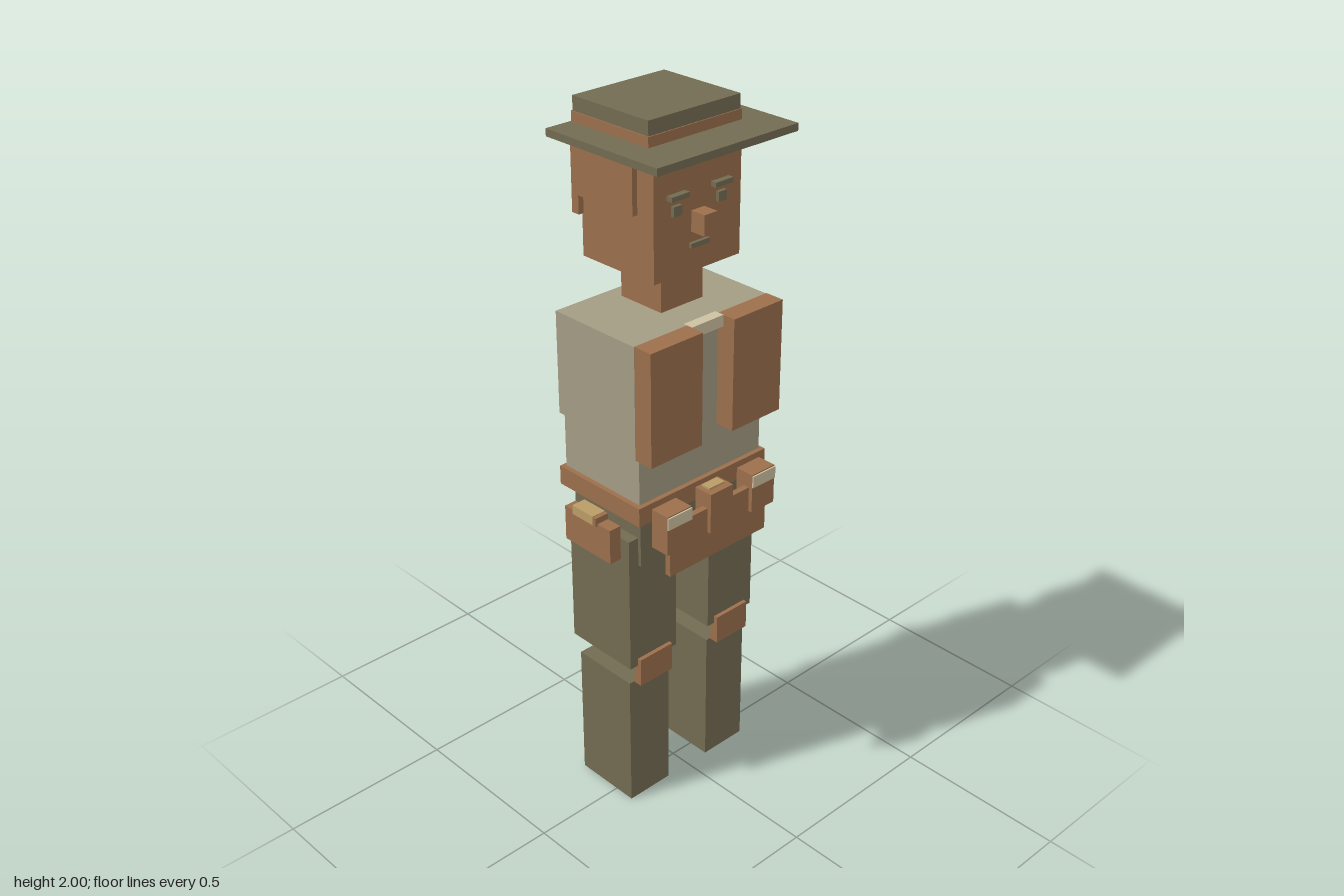
import * as THREE from 'three';

const mat = (name, color) => {
  const m = new THREE.MeshStandardMaterial({ color });
  m.name = name;
  return m;
};

export function createModel() {
  const brown = mat('leather brown', 0x9c6f4c);
  const olive = mat('olive cloth', 0x736c53);
  const khaki = mat('khaki shirt', 0xa49c84);
  const cream = mat('cream', 0xccc0a0);
  const tan = mat('tan', 0xb99d68);
  const model = new THREE.Group();
  model.name = 'worker';

  const group = (name) => {
    const g = new THREE.Group();
    g.name = name;
    model.add(g);
    return g;
  };
  // Box given by its lower and upper limits on each axis
  const box = (parent, name, material, [x0, x1], [y0, y1], [z0, z1]) => {
    const mesh = new THREE.Mesh(new THREE.BoxGeometry(x1 - x0, y1 - y0, z1 - z0), material);
    mesh.position.set((x0 + x1) / 2, (y0 + y1) / 2, (z0 + z1) / 2);
    mesh.name = name;
    parent.add(mesh);
  };
  // The same box on both sides of x = -0.003
  const pair = (parent, name, material, [x0, x1], y, z) => {
    const c = -0.003;
    box(parent, name + 'Left', material, [c + x0, c + x1], y, z);
    box(parent, name + 'Right', material, [c - x1, c - x0], y, z);
  };

  // Legs
  const legs = group('legs');
  pair(legs, 'shin', olive, [0.075, 0.222], [0, 0.412], [-0.142, 0.063]);
  pair(legs, 'thigh', olive, [0.062, 0.233], [0.475, 0.885], [-0.155, 0.08]);
  pair(legs, 'kneePad', brown, [0.088, 0.206], [0.412, 0.498], [0.065, 0.092]);
  box(legs, 'hips', olive, [-0.203, 0.203], [0.8, 0.96], [-0.17, 0.09]);

  // Torso and vest
  const torso = group('torso');
  box(torso, 'lowerShirt', khaki, [-0.222, 0.218], [1.0, 1.17], [-0.18, 0.108]);
  box(torso, 'upperShirt', khaki, [-0.236, 0.228], [1.168, 1.46], [-0.184, 0.11]);
  pair(torso, 'vestPanel', brown, [0.055, 0.232], [1.143, 1.461], [0.11, 0.168]);
  box(torso, 'collar', cream, [-0.058, 0.052], [1.43, 1.462], [0.1, 0.13]);
  box(torso, 'neck', brown, [-0.075, 0.07], [1.475, 1.59], [-0.113, 0.035]);

  // Belt, apron and pouches
  const gear = group('toolBelt');
  box(gear, 'belt', brown, [-0.236, 0.228], [0.95, 1.005], [-0.19, 0.122]);
  box(gear, 'apron', brown, [-0.18, 0.175], [0.8, 0.953], [0.16, 0.178]);
  pair(gear, 'pouch', brown, [0.113, 0.198], [0.88, 0.995], [0.132, 0.19]);
  pair(gear, 'pouchTrim', cream, [0.113, 0.198], [0.957, 0.992], [0.19, 0.194]);
  box(gear, 'middlePouch', brown, [-0.045, 0.037], [0.88, 0.998], [0.132, 0.19]);
  box(gear, 'middlePouchTop', tan, [-0.03, 0.025], [0.998, 1.004], [0.14, 0.17]);
  box(gear, 'hipBag', brown, [-0.273, -0.236], [0.82, 0.922], [-0.13, 0.048]);
  box(gear, 'hipBagRoll', tan, [-0.279, -0.236], [0.915, 0.942], [-0.093, -0.012]);
  box(gear, 'hipBagStrap', brown, [-0.279, -0.236], [0.915, 0.94], [-0.012, 0.0]);

  // Clip hanging at the back of the belt
  box(gear, 'clipBar', cream, [-0.07, 0.055], [0.915, 0.95], [-0.182, -0.17]);
  for (const x of [-0.045, 0.025])
    box(gear, 'clipProng', cream, [x - 0.013, x + 0.013], [0.862, 0.915], [-0.182, -0.17]);

  // Hammer on the left hip
  const hammer = group('hammer');
  box(hammer, 'hammerHead', olive, [0.242, 0.277], [0.998, 1.032], [-0.075, 0.041]);
  box(hammer, 'hammerHandle', brown, [0.25, 0.27], [0.758, 0.998], [-0.026, 0.0]);

  // Head and face
  const head = group('head');
  box(head, 'skull', brown, [-0.15, 0.145], [1.59, 1.92], [-0.17, 0.09]);
  box(head, 'hairFringe', brown, [-0.15, 0.145], [1.882, 1.92], [0.09, 0.095]);
  pair(head, 'hairSide', brown, [0.14, 0.163], [1.755, 1.918], [-0.17, 0.033]);
  box(head, 'hairBack', brown, [-0.166, 0.16], [1.705, 1.918], [-0.19, -0.165]);
  pair(head, 'eye', olive, [0.062, 0.09], [1.752, 1.778], [0.09, 0.1]);
  pair(head, 'eyebrow', olive, [0.044, 0.104], [1.795, 1.808], [0.09, 0.108]);
  box(head, 'nose', brown, [-0.025, 0.019], [1.695, 1.75], [0.09, 0.136]);
  box(head, 'mouth', olive, [-0.033, 0.03], [1.655, 1.668], [0.09, 0.1]);

  // Pencil tucked behind the left ear
  box(head, 'pencil', tan, [0.152, 0.168], [1.69, 1.9], [-0.018, -0.002]);
  box(head, 'pencilTip', olive, [0.155, 0.165], [1.66, 1.69], [-0.015, -0.005]);

  // Hat
  const hat = group('hat');
  box(hat, 'hatBrim', olive, [-0.236, 0.233], [1.915, 1.935], [-0.196, 0.195]);
  box(hat, 'hatBand', brown, [-0.157, 0.154], [1.935, 1.962], [-0.194, 0.081]);
  box(hat, 'hatCrown', olive, [-0.154, 0.151], [1.962, 2.0], [-0.191, 0.078]);

  return model;
}
